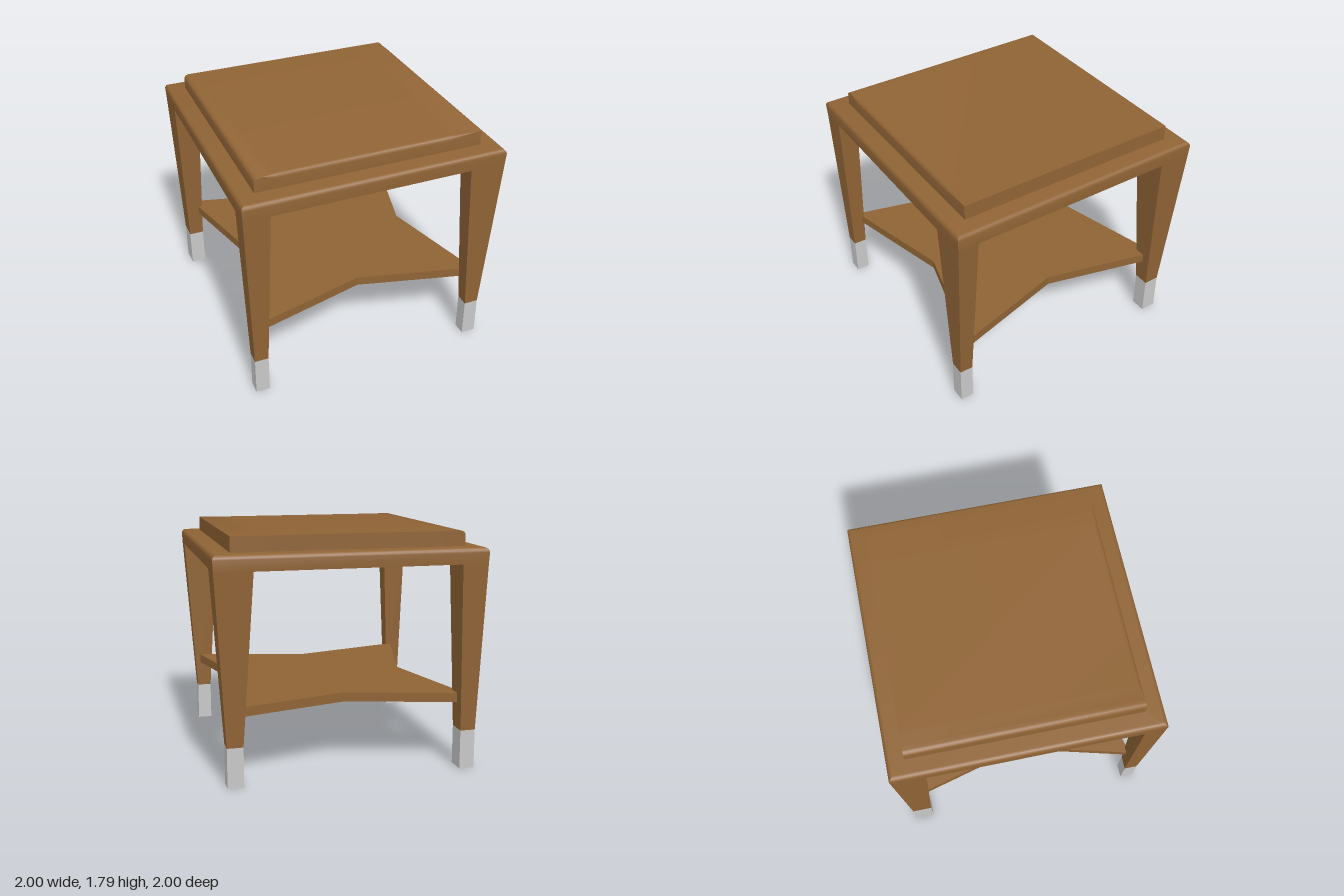
import * as THREE from 'three';
import { toCreasedNormals } from 'three/addons/utils/BufferGeometryUtils.js';

// Skin a list of equal-length rings (counter-clockwise seen from the last ring) and cap both ends.
function loft(rings) {
  const pos = [];
  const tri = (a, b, c) => pos.push(...a, ...b, ...c);
  const n = rings[0].length;
  for (let i = 0; i < rings.length - 1; i++) {
    for (let j = 0; j < n; j++) {
      const k = (j + 1) % n;
      const a = rings[i][j], b = rings[i][k], c = rings[i + 1][k], d = rings[i + 1][j];
      tri(a, b, c);
      tri(a, c, d);
    }
  }
  const first = rings[0], last = rings[rings.length - 1];
  for (let j = 1; j < n - 1; j++) {
    tri(first[0], first[j + 1], first[j]);
    tri(last[0], last[j], last[j + 1]);
  }
  const g = new THREE.BufferGeometry();
  g.setAttribute('position', new THREE.Float32BufferAttribute(pos, 3));
  return toCreasedNormals(g, 0.6);
}

const rect = (x0, x1, z0, z1, y) => [[x0, y, z1], [x1, y, z1], [x1, y, z0], [x0, y, z0]];

export function createModel() {
  const wood = new THREE.MeshStandardMaterial({ color: 0x8f6335 });
  wood.name = 'wood';
  const metal = new THREE.MeshStandardMaterial({ color: 0xc8c8c8 });
  metal.name = 'footMetal';

  const group = new THREE.Group();
  group.name = 'sideTable';
  const add = (name, geometry, material) => {
    const m = new THREE.Mesh(geometry, material);
    m.name = name;
    group.add(m);
  };

  // Table top with a rounded upper rim
  const slab = [rect(-0.996, 0.996, -0.996, 0.996, 1.56)];
  for (let i = 0; i <= 4; i++) {
    const a = (i / 4) * Math.PI / 2;
    const h = 0.965 + 0.035 * Math.cos(a);
    slab.push(rect(-h, h, -h, h, 1.643 + 0.035 * Math.sin(a)));
  }
  add('tableTop', loft(slab), wood);

  // Raised panel: left-hand rim rounded, front rim rounded only along its middle
  const section = (x, top, r) => {
    const ring = [[x, 1.678, 0.86], [x, 1.678, -0.865], [x, top, -0.865]];
    for (let i = 0; i <= 4; i++) {
      const a = (i / 4) * Math.PI / 2;
      ring.push([x, top - r + r * Math.cos(a), 0.86 - r + r * Math.sin(a)]);
    }
    return ring;
  };
  const panel = [];
  for (let i = 0; i <= 4; i++) {
    const a = (i / 4) * Math.PI / 2;
    panel.push(section(-0.83 - 0.035 * Math.cos(a), 1.755 + 0.035 * Math.sin(a), 0.002));
  }
  panel.push(section(-0.8, 1.79, 0.002), section(-0.7, 1.79, 0.03),
    section(0.62, 1.79, 0.03), section(0.82, 1.79, 0.002), section(0.86, 1.79, 0.002));
  add('raisedPanel', loft(panel), wood);

  // Tapered legs and their feet: foot x0, x1, z0, z1, then the inner x and z at the top
  const legs = {
    frontLeft: [0.80, 0.91, 0.866, 0.968, 0.72, 0.84],
    frontRight: [-0.955, -0.85, 0.866, 0.968, -0.80, 0.84],
    backLeft: [0.80, 0.92, -0.93, -0.81, 0.72, -0.74],
    backRight: [-0.955, -0.84, -0.945, -0.795, -0.80, -0.74],
  };
  for (const [name, [x0, x1, z0, z1, ix, iz]] of Object.entries(legs)) {
    const ox = Math.sign(ix) * 0.996, oz = Math.sign(iz) * 0.996;
    const top = rect(Math.min(ix, ox), Math.max(ix, ox), Math.min(iz, oz), Math.max(iz, oz), 1.56);
    add(name + 'Leg', loft([rect(x0, x1, z0, z1, 0.3), top]), wood);
    const foot = new THREE.BoxGeometry(x1 - x0, 0.3, z1 - z0);
    foot.translate((x0 + x1) / 2, 0.15, (z0 + z1) / 2);
    add(name + 'Foot', foot, [metal, metal, metal, wood, metal, metal]);
  }

  // Four-pointed lower shelf reaching into the legs
  const star = new THREE.Shape();
  for (let i = 0; i < 8; i++) {
    const a = i * Math.PI / 4;
    const r = i % 2 ? 0.89 * Math.SQRT2 : 0.66;
    star[i ? 'lineTo' : 'moveTo'](r * Math.cos(a), r * Math.sin(a));
  }
  const shelf = new THREE.ExtrudeGeometry(star, { depth: 0.07, bevelEnabled: false });
  shelf.rotateX(-Math.PI / 2).translate(0, 0.505, 0);
  add('lowerShelf', shelf, wood);

  return group;
}
